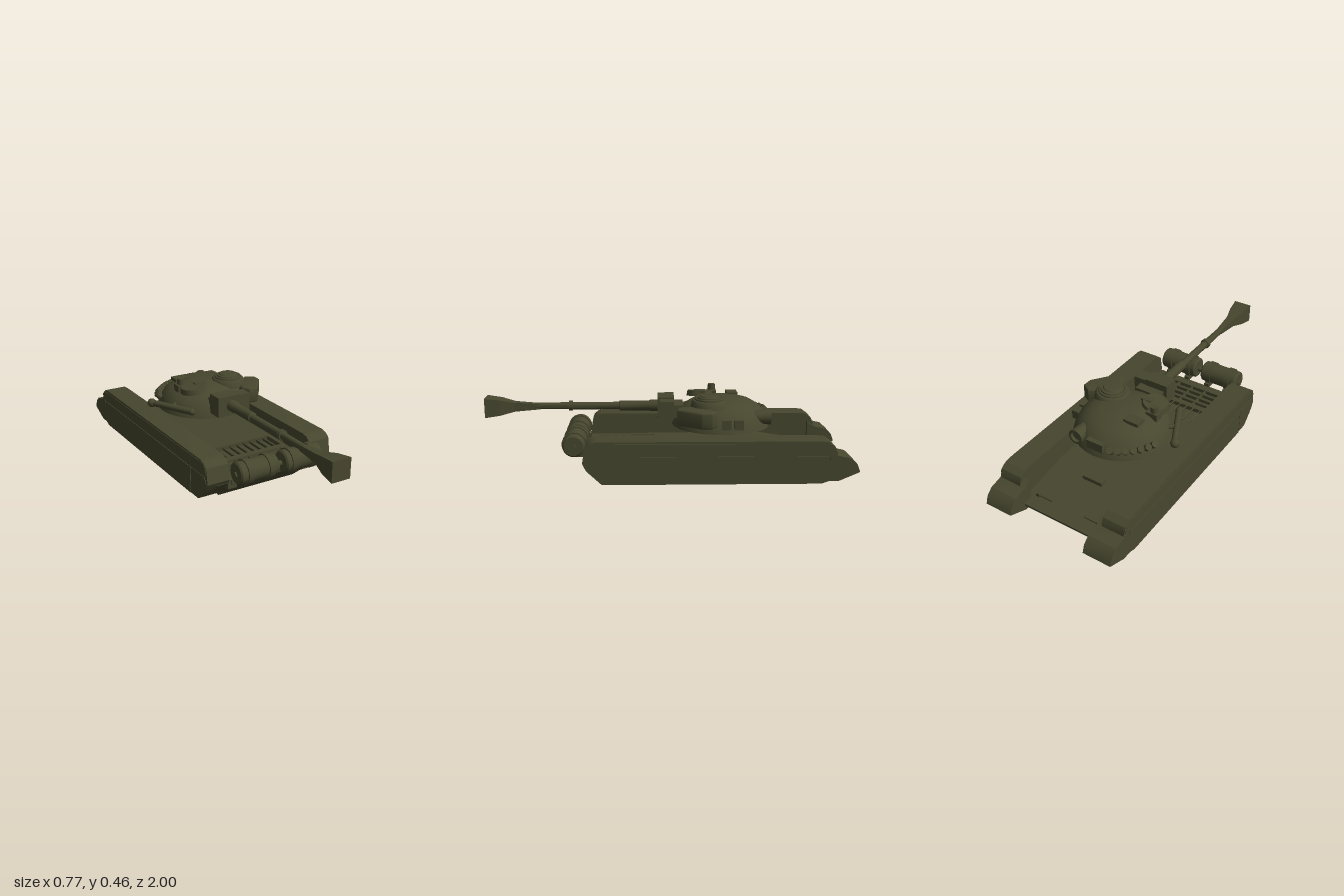
import * as THREE from 'three';
import { toCreasedNormals } from 'three/addons/utils/BufferGeometryUtils.js';

const olive = new THREE.MeshStandardMaterial({ color: 0x47472f, side: THREE.DoubleSide });
olive.name = 'olive paint';

export function createModel() {
  const root = new THREE.Group();
  root.name = 'tank';
  const hull = new THREE.Group(), turret = new THREE.Group();
  hull.name = 'hull';
  turret.name = 'turret';
  root.add(hull, turret);

  const add = (parent, name, geo, x = 0, y = 0, z = 0) => {
    const m = new THREE.Mesh(geo, olive);
    m.name = name;
    m.position.set(x, y, z);
    parent.add(m);
    return m;
  };
  const box = (parent, name, w, h, d, x, y, z) => add(parent, name, new THREE.BoxGeometry(w, h, d), x, y, z);
  const cyl = (parent, name, r0, r1, h, x, y, z, n = 20) =>
    add(parent, name, new THREE.CylinderGeometry(r0, r1, h, n), x, y, z);
  // side outline of [z, y] points, extruded from x0 to x1
  const prism = (parent, name, pts, x0, x1) => {
    const s = new THREE.Shape(pts.map(([z, y]) => new THREE.Vector2(-z, y)));
    const g = new THREE.ExtrudeGeometry(s, { depth: x1 - x0, bevelEnabled: false });
    g.rotateY(Math.PI / 2).translate(x0, 0, 0);
    return add(parent, name, toCreasedNormals(g, 0.5));
  };
  const lathe = (pts, n) => toCreasedNormals(
    new THREE.LatheGeometry(pts.map(p => new THREE.Vector2(...p)), n), 0.6);
  const rod = (parent, name, a, b, r) => {
    const p = new THREE.Vector3(...a), q = new THREE.Vector3(...b);
    const m = cyl(parent, name, r, r, p.distanceTo(q), 0, 0, 0, 12);
    m.position.copy(p).lerp(q, 0.5);
    m.quaternion.setFromUnitVectors(new THREE.Vector3(0, 1, 0), q.sub(p).normalize());
    return m;
  };

  // low central hull with sloped ends and a sunken engine bay
  prism(hull, 'hullBody', [[0.31, 0], [0.37, 0.05], [0.44, 0.115], [0.44, 0.143], [0.39, 0.143], [0.39, 0.122],
    [0.07, 0.122], [0.07, 0.148], [-0.55, 0.15], [-0.895, 0.095], [-0.885, 0.07], [-0.77, 0]], -0.24, 0.24);
  prism(hull, 'deckPlate', [[0.07, 0.11], [0.07, 0.147], [-0.55, 0.149], [-0.89, 0.094], [-0.86, 0.07]], -0.26, 0.26);
  const boss = add(hull, 'endPlateBoss', new THREE.SphereGeometry(1, 20, 10), 0, 0.065, 0.386);
  boss.scale.set(0.06, 0.05, 0.01);
  boss.rotation.x = 0.78;

  // track housings, skirts and mudguards
  for (const s of [-1, 1]) {
    const span = (name, pts, a, b) => prism(hull, name, pts, Math.min(s * a, s * b), Math.max(s * a, s * b));
    span('trackHousing', [[0.37, 0.265], [0.405, 0.257], [0.43, 0.235], [0.445, 0.15], [0.425, 0.11], [0.345, 0.035],
      [-0.80, 0.035], [-0.87, 0.075], [-0.88, 0.2], [-0.865, 0.235], [-0.83, 0.26], [-0.78, 0.264]], 0.253, 0.381);
    span('topRail', [[0.40, 0.256], [0.42, 0.242], [0.432, 0.215], [0.43, 0.198], [0.42, 0.194], [-0.84, 0.194],
      [-0.868, 0.2], [-0.872, 0.225], [-0.855, 0.24], [-0.84, 0.25]], 0.378, 0.384);
    span('sideSkirt', [[0.27, 0.185], [-0.83, 0.185], [-0.868, 0.06], [-0.80, 0.036], [0.27, 0.036]], 0.378, 0.385);
    span('frontSkirt', [[0.275, 0.185], [0.41, 0.185], [0.437, 0.15], [0.4, 0.095], [0.34, 0.04], [0.275, 0.04]],
      0.378, 0.384);
    span('trackEnd', [[0.35, 0.13], [0.44, 0.13], [0.39, 0.068], [0.33, 0.068]], 0.24, 0.325);
    span('mudguard', [[-0.84, 0.215], [-0.88, 0.188], [-0.95, 0.172], [-0.985, 0.14], [-1.0, 0.098],
      [-0.89, 0.05], [-0.84, 0.05]], 0.225, 0.385);
    for (const z of [0.395, -0.835]) {
      const hub = cyl(hull, 'returnRoller', 0.025, 0.025, 0.01, s * 0.38, 0.222, z, 16);
      hub.rotation.z = Math.PI / 2;
    }
    rod(hull, 'deckEdgeRail', [s * 0.18, 0.118, -0.82], [s * 0.1, 0.118, -0.82], 0.006);
    box(hull, 'headlampGuard', 0.02, 0.02, 0.02, s * 0.19, 0.12, -0.82);
    box(hull, 'engineBaySide', 0.03, 0.05, 0.14, s * 0.243, 0.121, 0.138);
    box(hull, 'radiatorBaySide', 0.055, 0.05, 0.24, s * 0.232, 0.118, 0.318);
  }

  // louvres and radiator bars across the engine bay
  box(hull, 'bayDivider', 0.46, 0.026, 0.035, 0, 0.133, 0.22);
  for (let i = 0; i < 10; i++) {
    const slat = box(hull, 'grilleSlat', 0.006, 0.034, 0.13, -0.2 + i * 0.044, 0.132, 0.14);
    slat.rotation.z = 0.5;
  }
  for (let i = 0; i < 3; i++) box(hull, 'radiatorBar', 0.42, 0.02, 0.018, 0, 0.132, 0.27 + i * 0.043);
  for (const x of [-0.09, 0, 0.09]) box(hull, 'radiatorRib', 0.012, 0.02, 0.16, x, 0.13, 0.31);
  box(hull, 'driverPeriscope', 0.12, 0.025, 0.04, 0, 0.148, -0.6);

  // fuel drums with straps
  rod(hull, 'drumAxle', [-0.26, 0.2, 0.5], [0.26, 0.2, 0.5], 0.015);
  for (const s of [-1, 1]) {
    const drum = add(hull, 'fuelDrum', lathe([[0, -0.115], [0.052, -0.115], [0.06, -0.107], [0.06, 0.107],
      [0.052, 0.115], [0, 0.115]], 24), s * 0.136, 0.206, 0.5);
    drum.rotation.z = Math.PI / 2;
    for (const x of [0.07, 0.195]) {
      const strap = cyl(hull, 'drumStrap', 0.067, 0.067, 0.032, s * x, 0.206, 0.5, 24);
      strap.rotation.z = Math.PI / 2;
      box(hull, 'drumBracket', 0.03, 0.025, 0.06, s * x, 0.149, 0.465);
    }
  }

  // domed turret
  add(turret, 'turretDome', lathe([[0, 0.275], [0.27, 0.275], [0.264, 0.295], [0.252, 0.325], [0.236, 0.352],
    [0.205, 0.382], [0.165, 0.407], [0.11, 0.422], [0, 0.43]], 32), 0.02, 0, -0.3);

  // mantlet and gun
  box(turret, 'mantlet', 0.137, 0.114, 0.09, -0.016, 0.371, 0.005);
  box(turret, 'mantletSide', 0.075, 0.104, 0.075, 0.088, 0.366, 0.0);
  box(turret, 'mantletNeck', 0.15, 0.07, 0.06, 0.01, 0.355, -0.06);
  const gun = add(turret, 'gunBarrel', lathe([[0, 0], [0.032, 0], [0.032, 0.09], [0.028, 0.1], [0.028, 0.26],
    [0.021, 0.265], [0.021, 0.52], [0.028, 0.522], [0.028, 0.542], [0.02, 0.544], [0.018, 0.78], [0, 0.78]], 16), 0, 0.372, 0);
  gun.rotation.x = Math.PI / 2;
  const square = (name, r0, r1, z0, z1) => {
    const g = new THREE.CylinderGeometry(r1 * Math.SQRT2, r0 * Math.SQRT2, z1 - z0, 4);
    g.rotateY(Math.PI / 4).rotateX(Math.PI / 2);
    add(turret, name, toCreasedNormals(g, 0.5), 0, 0.37, (z0 + z1) / 2);
  };
  square('muzzleNeck', 0.015, 0.025, 0.70, 0.84);
  square('muzzleFlare', 0.025, 0.043, 0.84, 0.915);
  square('muzzleEnd', 0.043, 0.054, 0.915, 1.0);

  // commander's cupola
  add(turret, 'cupola', lathe([[0.1, 0.39], [0.093, 0.425], [0.085, 0.434], [0.066, 0.436], [0.062, 0.45],
    [0.05, 0.452], [0.045, 0.458], [0, 0.458]], 24), 0.14, 0, -0.225);
  const ring = add(turret, 'cupolaRing', new THREE.TorusGeometry(0.07, 0.008, 8, 28), 0.14, 0.438, -0.225);
  ring.rotation.x = Math.PI / 2;

  // gunner's hatch and sight
  const hatch = cyl(turret, 'gunnerHatch', 0.068, 0.075, 0.03, -0.11, 0.42, -0.19);
  hatch.rotation.z = 0.14;
  box(turret, 'hatchHinge', 0.06, 0.014, 0.03, -0.065, 0.437, -0.2);
  cyl(turret, 'sightHead', 0.02, 0.022, 0.06, -0.15, 0.434, -0.26, 12);
  box(turret, 'sightBase', 0.07, 0.04, 0.05, -0.145, 0.41, -0.26);
  box(turret, 'roofBox', 0.09, 0.02, 0.06, -0.095, 0.422, -0.37);

  // rounded stowage bin on the turret shoulder, outline in plan as [x, -z]
  const plan = new THREE.Shape([[0.17, 0.1], [0.19, 0.065], [0.23, 0.06], [0.32, 0.18], [0.322, 0.225],
    [0.28, 0.25], [0.2, 0.2]].map(p => new THREE.Vector2(...p)));
  const bin = new THREE.ExtrudeGeometry(plan, { depth: 0.07, bevelEnabled: true, bevelSize: 0.009,
    bevelThickness: 0.009, bevelSegments: 3 });
  bin.rotateX(-Math.PI / 2);
  add(turret, 'stowageBin', toCreasedNormals(bin, 0.6), 0, 0.323, 0);
  for (const z of [-0.31, -0.375]) box(turret, 'flankBox', 0.04, 0.05, 0.05, 0.265, 0.325, z);

  // stowed tube on the other flank
  rod(turret, 'stowedTube', [-0.31, 0.33, -0.32], [-0.185, 0.33, -0.07], 0.018);
  add(turret, 'tubeCap', new THREE.SphereGeometry(0.025, 14, 10), -0.31, 0.33, -0.315);
  add(turret, 'tubeEnd', new THREE.SphereGeometry(0.019, 12, 8), -0.185, 0.33, -0.07);
  rod(turret, 'tubeBracket', [-0.245, 0.33, -0.19], [-0.2, 0.33, -0.23], 0.012);

  // rear lamp and equipment box
  const lamp = add(turret, 'rearLamp', lathe([[0, -0.06], [0.036, -0.06], [0.042, 0.015], [0.042, 0.03],
    [0.03, 0.03], [0.026, 0.015], [0, 0.015]], 20), 0.14, 0.338, -0.53);
  lamp.rotation.x = -Math.PI / 2;
  box(turret, 'rearBox', 0.1, 0.05, 0.07, 0.02, 0.33, -0.525);

  // row of smoke launchers around the rear quarter
  for (let i = 0; i < 7; i++) {
    const a = 3.5 + i * 0.145, r = 0.255;
    const x = 0.02 + Math.sin(a) * r, z = -0.3 + Math.cos(a) * r;
    rod(turret, 'smokeLauncher', [x, 0.325, z], [x + Math.sin(a) * 0.022, 0.348, z + Math.cos(a) * 0.022], 0.018);
  }
  return root;
}
